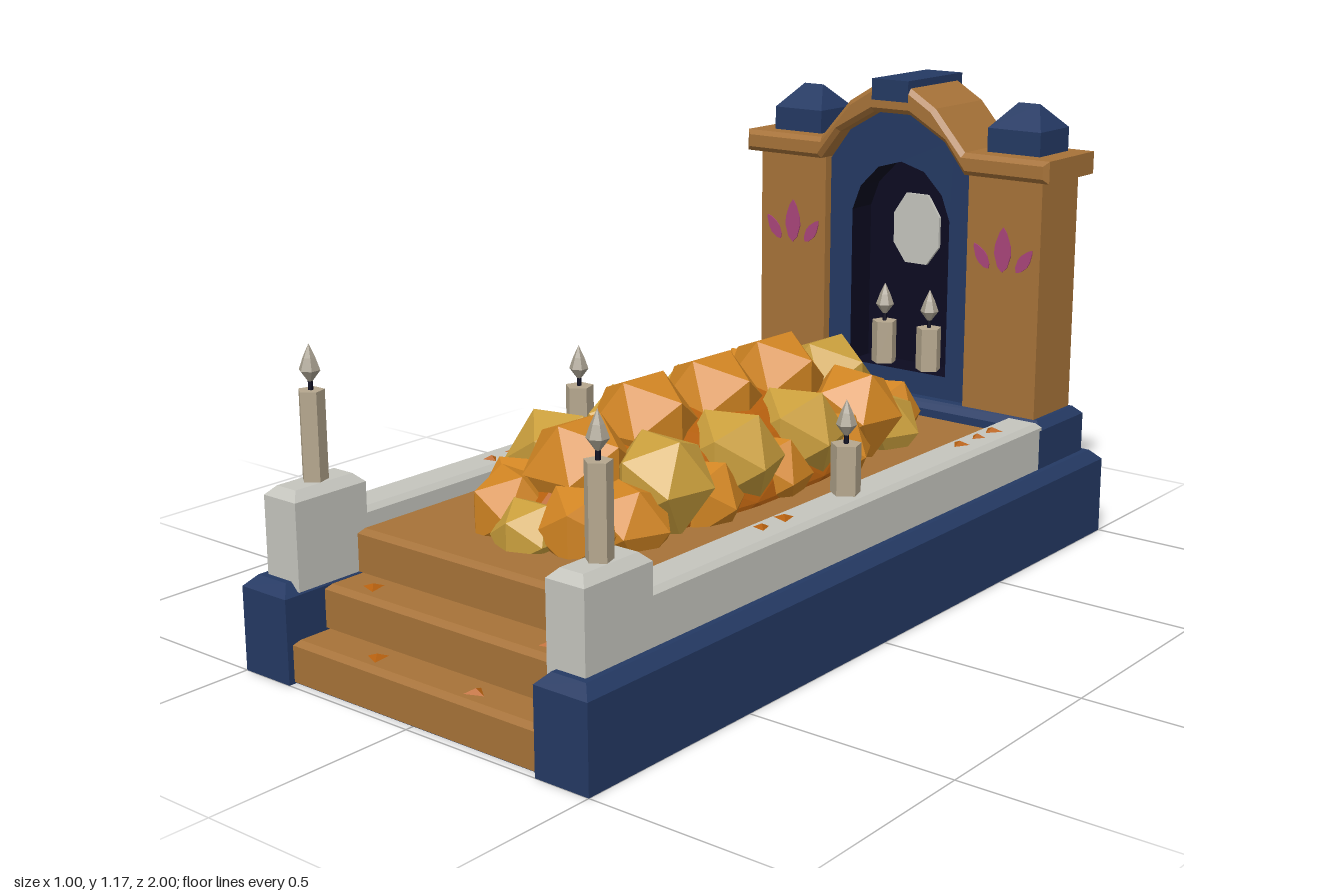
import * as THREE from 'three';

const mat = (name, color, extra = {}) => {
  const m = new THREE.MeshStandardMaterial({ color, flatShading: true, ...extra });
  m.name = name;
  return m;
};

export function createModel() {
  const root = new THREE.Group();
  root.name = 'flowerGrave';
  const navy = mat('navy stone', 0x243963);
  const brown = mat('brown stone', 0xa67238);
  const white = mat('pale kerb', 0xc4c4bd);
  const dark = mat('dark niche', 0x0b0a20);
  const magenta = mat('magenta lotus', 0xa8447a);
  const wax = mat('candle wax', 0xb5a78e);
  const flameMat = mat('flame', 0xa8a090);
  const orange = mat('orange marigold', 0xd08422);
  const gold = mat('gold marigold', 0xc99e3c);
  const rust = mat('rust petal', 0xb8610f);

  const add = (name, geo, material, x = 0, y = 0, z = 0) => {
    const m = new THREE.Mesh(geo, material);
    m.name = name;
    m.position.set(x, y, z);
    root.add(m);
    return m;
  };

  // Block given by its limits, with the top edges chamfered by c
  const block = (name, material, x0, x1, y0, y1, z0, z1, c = 0) => {
    const w = x1 - x0, h = y1 - y0, d = z1 - z0;
    const g = new THREE.BoxGeometry(w, h, d, 1, 2, 1).toNonIndexed();
    const p = g.attributes.position;
    for (let i = 0; i < p.count; i++) {
      const y = p.getY(i);
      if (Math.abs(y) < 1e-6) p.setY(i, h / 2 - c);
      else if (y > 0) {
        p.setX(i, p.getX(i) - Math.sign(p.getX(i)) * c);
        p.setZ(i, p.getZ(i) - Math.sign(p.getZ(i)) * c);
      }
    }
    g.computeVertexNormals();
    return add(name, g, material, (x0 + x1) / 2, (y0 + y1) / 2, (z0 + z1) / 2);
  };
  const sideBlock = (name, material, s, a, b, ...rest) =>
    block(name, material, Math.min(s * a, s * b), Math.max(s * a, s * b), ...rest);

  const extrude = (shape, depth, bevel = 0) => new THREE.ExtrudeGeometry(shape, {
    depth, bevelEnabled: bevel > 0, bevelSize: bevel, bevelOffset: -bevel, bevelThickness: bevel, bevelSegments: 1,
  });
  const poly = pts => new THREE.Shape(pts.map(([x, y]) => new THREE.Vector2(x, y)));
  // Symmetric outline from its right half, listed from bottom to top
  const mirrored = half => [...half, ...half.filter(([x]) => x > 0).reverse().map(([x, y]) => [-x, y])];

  // Base: floor slab, bed support, and side arms that flank the steps
  block('baseFloor', navy, -0.37, 0.37, 0, 0.004, -0.9, 0.98);
  block('baseBody', navy, -0.5, 0.5, 0, 0.22, -1, 0.6, 0.025);
  for (const s of [-1, 1]) sideBlock('baseArm', navy, s, 0.36, 0.5, 0, 0.22, -1, 1, 0.025);

  // Grave bed and steps
  [[0.004, 0.1, 0.985], [0.1, 0.2, 0.89], [0.2, 0.3, 0.79]].forEach(([y0, y1, z], i) =>
    block(i < 2 ? 'step' : 'bed', brown, -0.36, 0.36, y0, y1, i < 2 ? 0.55 : -0.75, z, 0.012));

  // Kerbs and front piers
  for (const s of [-1, 1]) {
    sideBlock('kerb', white, s, 0.36, 0.46, 0.2, 0.34, -0.75, 0.78, 0.012);
    sideBlock('pier', white, s, 0.36, 0.46, 0.2, 0.42, 0.76, 0.96, 0.02);
  }

  // Headstone plinth and columns
  block('plinth', navy, -0.46, 0.46, 0.2, 0.34, -0.96, -0.74, 0.02);
  for (const s of [-1, 1]) sideBlock('column', brown, s, 0.22, 0.43, 0.34, 0.96, -0.937, -0.76);

  // Arched niche frame with dark reveal
  const arch = [[0.22, 0.94], [0.16, 1.02], [0.055, 1.08]];
  const nicheHalf = [[0.15, 0.4], [0.15, 0.81], [0.125, 0.875], [0.07, 0.93], [0, 0.95]];
  const frame = poly(mirrored([[0.225, 0.33], ...arch]));
  const niche = mirrored(nicheHalf);
  frame.holes.push(new THREE.Path(niche.map(([x, y]) => new THREE.Vector2(x, y))));
  add('nicheFrame', extrude(frame, 0.09), [navy, dark], 0, 0, -0.875);
  add('nicheBack', extrude(poly(niche), 0.004), dark, 0, 0, -0.876);
  add('backPanel', extrude(poly(mirrored([[0.225, 0.33], ...arch])), 0.04), navy, 0, 0, -0.915);
  add('medallion', extrude(poly(mirrored([[0.033, 0.67], [0.07, 0.72], [0.07, 0.8], [0.033, 0.855]])), 0.009),
    white, 0, 0, -0.872);

  // Cornice that arches over the niche
  const under = [[0.46, 0.944], [0.22, 0.944], [0.16, 1.02], [0.055, 1.08]];
  const over = [[0.05, 1.15], [0.13, 1.102], [0.22, 1.0], [0.46, 1.0]];
  const flip = pts => pts.map(([x, y]) => [-x, y]).reverse();
  add('cornice', extrude(poly([...flip(over), ...over, ...under, ...flip(under)]), 0.22, 0.012),
    brown, 0, 0, -0.958);
  block('keystone', navy, -0.055, 0.055, 1.112, 1.166, -0.98, -0.725);

  // Finials with hipped tops
  for (const s of [-1, 1]) {
    sideBlock('finialBase', navy, s, 0.255, 0.405, 0.995, 1.06, -0.925, -0.785);
    const roof = new THREE.BoxGeometry(0.15, 0.06, 0.14).toNonIndexed();
    const p = roof.attributes.position;
    for (let i = 0; i < p.count; i++) if (p.getY(i) > 0) {
      p.setX(i, p.getX(i) * 0.4);
      p.setZ(i, p.getZ(i) * 0.02);
    }
    roof.computeVertexNormals();
    add('finialRoof', roof, navy, s * 0.33, 1.09, -0.855);
  }

  // Lotus emblems: a tall petal between two leaning ones
  const petal = h => extrude(poly(mirrored(
    [[0, 0], [0.014, 0.12], [0.024, 0.4], [0.022, 0.6], [0.01, 0.88], [0, 1]].map(([x, y]) => [x * h / 0.115, y * h])
      .filter(([x, y]) => x > 0 || y > 0)).concat([[0, 0]])), 0.005);
  for (const s of [-1, 1]) {
    add('lotusPetal', petal(0.115), magenta, s * 0.325, 0.705, -0.762);
    for (const t of [-1, 1]) {
      const m = add('lotusSidePetal', petal(0.075), magenta, s * 0.325 + t * 0.04, 0.71, -0.762);
      m.rotation.z = -t * 0.62;
    }
  }

  // Candles
  const candle = (x, y, z, r, h) => {
    add('candle', new THREE.CylinderGeometry(r, r, h, 5), wax, x, y + h / 2, z);
    add('wick', new THREE.CylinderGeometry(0.006, 0.006, 0.025, 5), dark, x, y + h + 0.01, z);
    const profile = [[0, 0], [0.024, 0.032], [0.014, 0.06], [0, 0.09]].map(([a, b]) => new THREE.Vector2(a, b));
    add('flame', new THREE.LatheGeometry(profile, 6), flameMat, x, y + h + 0.012, z);
  };
  for (const s of [-1, 1]) {
    candle(s * 0.41, 0.42, 0.86, 0.03, 0.2);
    candle(s * 0.4, 0.34, 0.02, 0.036, 0.115);
    candle(s * 0.07, 0.4, -0.828, 0.034, 0.113);
  }

  // Loose petals on the kerbs and steps
  const loose = [[0.4, 0.34, -0.61, 0.026], [0.4, 0.34, -0.54, 0.02], [0.4, 0.34, -0.46, 0.024],
    [0.4, 0.34, 0.25, 0.025], [0.4, 0.34, 0.33, 0.02], [0.26, 0.2, 0.84, 0.026], [0.145, 0.1, 0.94, 0.026]];
  for (const s of [-1, 1]) for (const [x, y, z, r] of loose) {
    add('loosePetal', new THREE.ConeGeometry(r, 0.01, 3), rust, s * x, y + 0.005, z).rotation.y = s * (0.5 + z);
  }

  // Marigold mound: a core covered by faceted blooms
  const core = add('moundCore', new THREE.IcosahedronGeometry(1, 2), rust, 0, 0.31, 0);
  core.scale.set(0.24, 0.19, 0.64);
  const bloom = (x, y, z, r, material, turn = 0) => {
    add('marigold', new THREE.IcosahedronGeometry(r, 0), material, x, y, z).rotation.y = turn;
  };
  for (const z of [-0.245, 0, 0.245]) bloom(0, 0.477, z, 0.132, orange, Math.PI / 2);
  bloom(0, 0.43, -0.46, 0.132, gold, Math.PI / 2);
  bloom(0, 0.425, 0.46, 0.132, orange, Math.PI / 2);
  for (const e of [-1, 1]) {
    bloom(0, 0.315, e * 0.62, 0.09, gold);
    for (const s of [-1, 1]) {
      bloom(s * 0.155, 0.4, e * 0.122, 0.125, gold, s * 0.3);
      bloom(s * 0.15, 0.4, e * 0.365, 0.125, e > 0 ? gold : orange, -s * 0.2);
      bloom(s * 0.1, 0.34, e * 0.57, 0.105, orange, s * 0.4);
      bloom(s * 0.17, 0.335, e * 0.25, 0.105, orange, s * 0.5);
      bloom(s * 0.155, 0.335, e * 0.48, 0.105, e > 0 ? orange : gold, -s * 0.4);
    }
  }
  for (const s of [-1, 1]) bloom(s * 0.17, 0.335, 0, 0.105, orange, s * 0.2);

  return root;
}
